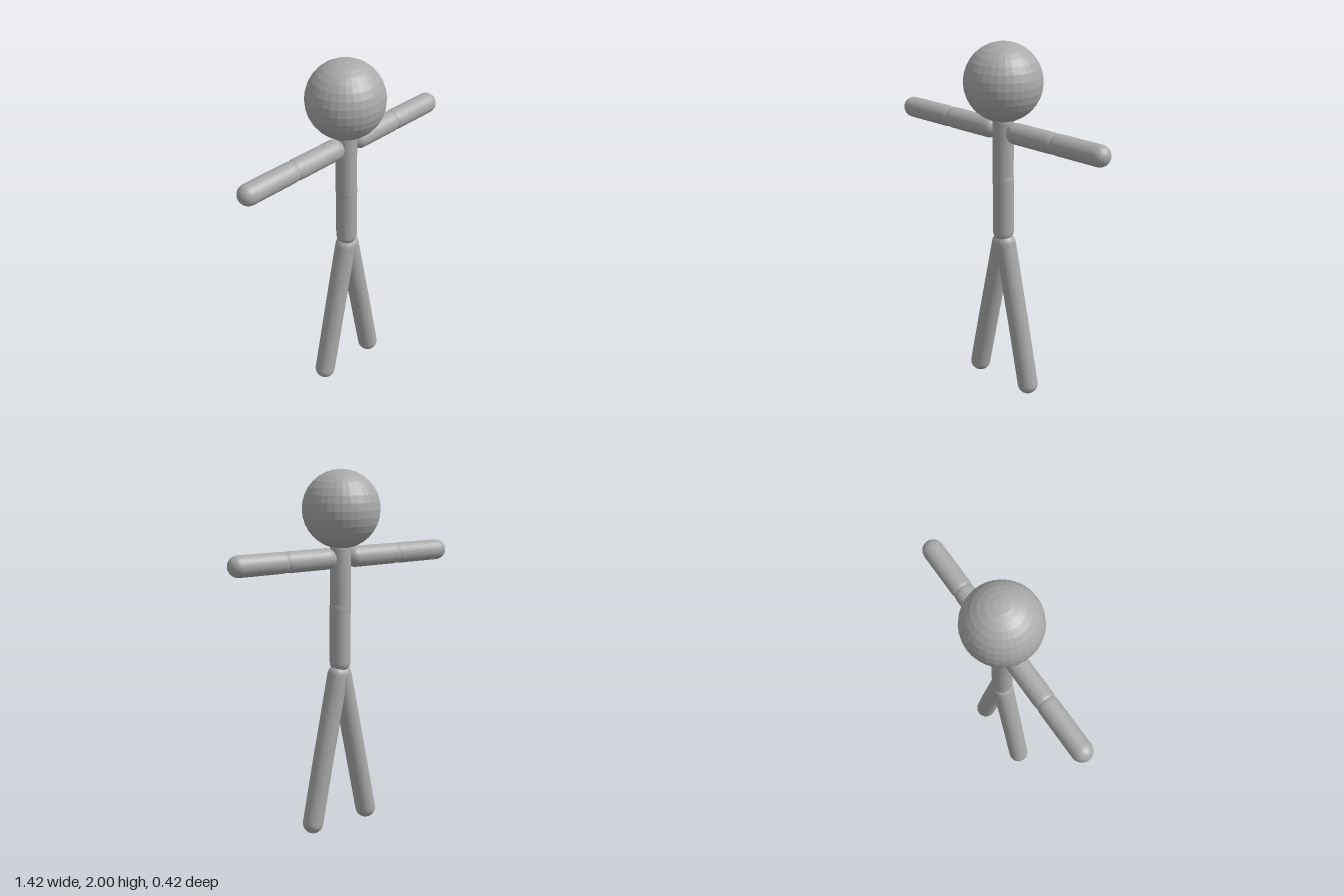
import * as THREE from 'three';

const R = 0.057; // limb radius
const UP = new THREE.Vector3(0, 1, 0);

export function createModel() {
  const model = new THREE.Group();
  model.name = 'stickFigure';
  const grey = new THREE.MeshStandardMaterial({ color: 0xaaaaaa });
  grey.name = 'grey';
  grey.flatShading = true;

  // Round-ended limb between two cap centres [x, y]
  const limb = (name, from, to) => {
    const a = new THREE.Vector3(from[0], from[1], 0.004);
    const b = new THREE.Vector3(to[0], to[1], 0.004);
    const dir = b.clone().sub(a);
    const mesh = new THREE.Mesh(new THREE.CapsuleGeometry(R, dir.length(), 8, 32), grey);
    mesh.position.copy(a).add(b).multiplyScalar(0.5);
    mesh.quaternion.setFromUnitVectors(UP, dir.normalize());
    mesh.name = name;
    model.add(mesh);
  };

  // Head
  const head = new THREE.Mesh(new THREE.SphereGeometry(0.21, 32, 16), grey);
  head.position.set(0.018, 1.79, 0);
  head.name = 'head';
  model.add(head);

  // Torso
  limb('upperTorso', [0.021, 1.575], [0.021, 1.24]);
  limb('lowerTorso', [0.024, 1.26], [0.024, 0.955]);

  // Arms, held straight out with a shallow groove at each elbow
  limb('rightUpperArm', [-0.075, 1.53], [-0.336, 1.53]);
  limb('rightForearm', [-0.38, 1.53], [-0.655, 1.53]);
  limb('leftUpperArm', [0.115, 1.53], [0.353, 1.53]);
  limb('leftForearm', [0.397, 1.53], [0.653, 1.53]);

  // Legs, spread apart
  limb('rightThigh', [0.016, 0.885], [-0.07, 0.48]);
  limb('rightShin', [-0.07, 0.48], [-0.155, 0.071]);
  limb('leftThigh', [0.04, 0.885], [0.125, 0.48]);
  limb('leftShin', [0.128, 0.47], [0.211, 0.058]);

  return model;
}
